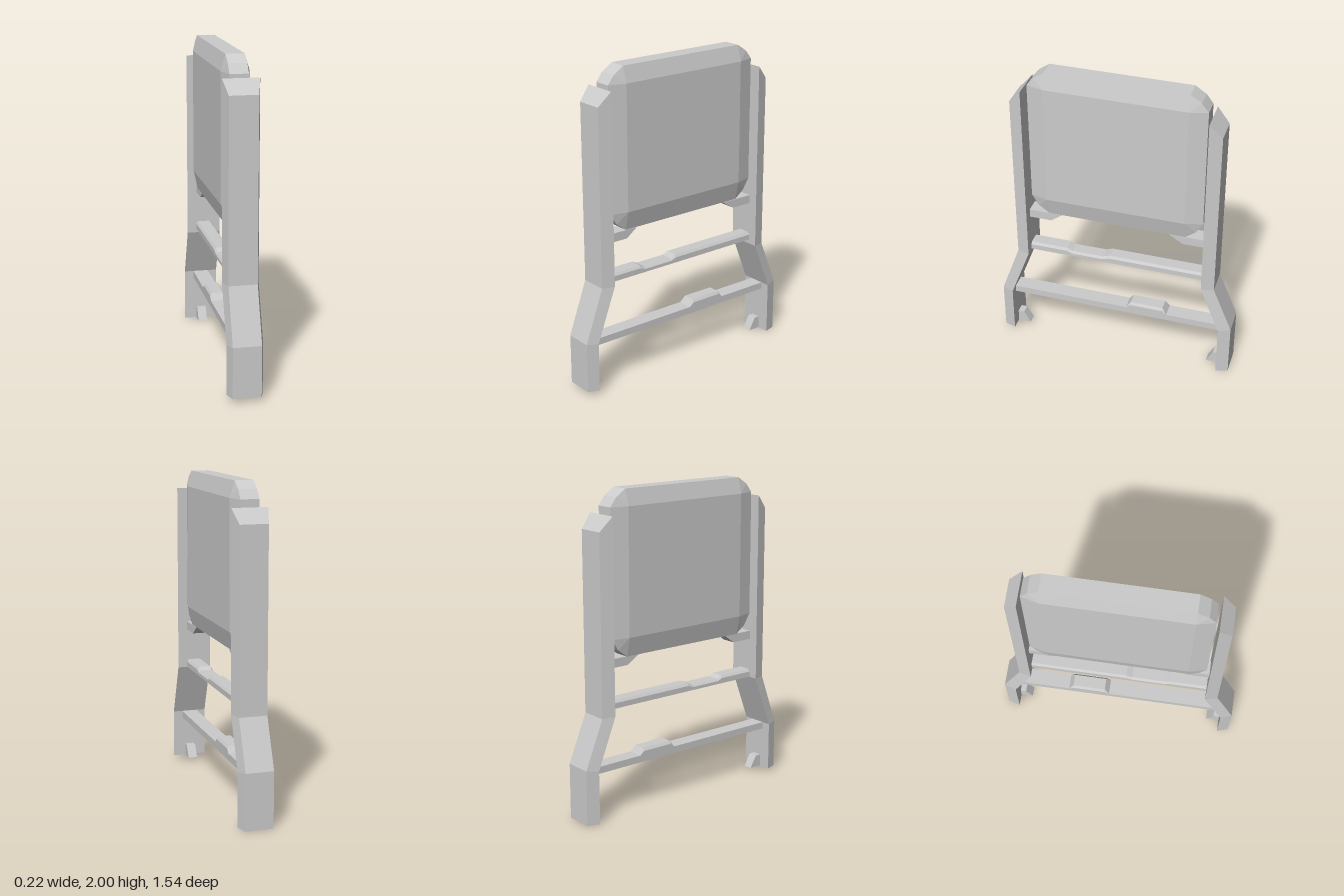
import * as THREE from 'three';

const material = new THREE.MeshStandardMaterial({ color: 0xcccccc, flatShading: true });

// Skins a list of matching rings of [x, y, z] points and caps both ends
function loft(name, rings) {
  const pos = [];
  const n = rings[0].length;
  let volume = 0;
  const tri = (a, b, c) => {
    const [A, B, C] = [a, b, c].map((p) => new THREE.Vector3(...p));
    const normal = B.clone().sub(A).cross(C.clone().sub(A));
    if (normal.length() < 1e-9) return;
    volume += A.dot(B.clone().cross(C));
    pos.push([a, b, c]);
  };
  for (let r = 0; r < rings.length - 1; r++) {
    for (let i = 0; i < n; i++) {
      const j = (i + 1) % n;
      tri(rings[r][i], rings[r][j], rings[r + 1][j]);
      tri(rings[r][i], rings[r + 1][j], rings[r + 1][i]);
    }
  }
  const first = rings[0], last = rings[rings.length - 1];
  for (let i = 1; i < n - 1; i++) {
    tri(first[0], first[i + 1], first[i]);
    tri(last[0], last[i], last[i + 1]);
  }
  // Turn the faces outward whichever way the rings run
  const faces = volume < 0 ? pos.map(([a, b, c]) => [a, c, b]) : pos;
  const geometry = new THREE.BufferGeometry();
  geometry.setAttribute('position', new THREE.Float32BufferAttribute(faces.flat(2), 3));
  geometry.computeVertexNormals();
  const mesh = new THREE.Mesh(geometry, material);
  mesh.name = name;
  return mesh;
}

// A side profile of [z, y] points given a width across x
const slab = (name, profile, halfWidth) =>
  loft(name, [-halfWidth, halfWidth].map((x) => profile.map(([z, y]) => [x, y, z])));

// A rail along z from stations [z, shoulderY, topY], with bevelled top edges
const rail = (name, bottom, stations) =>
  loft(name, stations.map(([z, shoulder, top]) => {
    const w = 0.05, t = top > shoulder ? 0.038 : 0.05;
    return [[-w, bottom, z], [w, bottom, z], [w, shoulder, z], [t, top, z], [-t, top, z], [-w, shoulder, z]];
  }));

// Bent upright, wide on the inside and narrow outside: [innerZ, innerY, outerZ, outerY]
function upright(name, side, levels) {
  return loft(name, levels.map(([zi, yi, zo, yo]) => [
    [-0.11, yi, side * zi], [0.11, yi, side * zi],
    [0.087, yo, side * zo], [-0.087, yo, side * zo],
  ]));
}

// Pillow-like panel with clipped corners and sloping borders
function panel() {
  const outline = [], inner = [];
  const corners = [
    [1, 1.9, [[0.55, 1.9], [0.507, 1.955], [0.44, 2.0]]],
    [-1, 1.9, [[0.44, 2.0], [0.507, 1.955], [0.55, 1.9]]],
    [-1, 1.115, [[0.55, 1.115], [0.507, 1.045], [0.44, 0.995]]],
    [1, 1.115, [[0.44, 0.995], [0.507, 1.045], [0.55, 1.115]]],
  ];
  for (const [side, y, points] of corners) {
    for (const [z, py] of points) {
      outline.push([side * z, py]);
      inner.push([side * 0.44, y]);
    }
  }
  const ring = (loop, x) => loop.map(([z, y]) => [x, y, z]);
  return loft('panel', [
    ring(inner, -0.09), ring(outline, -0.063), ring(outline, 0.05), ring(inner, 0.079),
  ]);
}

export function createModel() {
  const model = new THREE.Group();
  model.name = 'panelStand';

  model.add(panel());

  // Uprights
  model.add(upright('frontUpright', 1, [
    [0.7, 0.027, 0.772, 0.027], [0.7, 0.34, 0.772, 0.345],
    [0.572, 0.68, 0.65, 0.68], [0.572, 1.88, 0.65, 1.795],
  ]));
  model.add(upright('backUpright', -1, [
    [0.693, 0, 0.77, 0], [0.693, 0.34, 0.77, 0.35],
    [0.568, 0.655, 0.647, 0.65], [0.568, 1.855, 0.647, 1.768],
  ]));

  // Toes inside the feet
  model.add(slab('frontToe', [[0.705, 0.027], [0.615, 0.027], [0.66, 0.105], [0.705, 0.105]], 0.03));
  model.add(slab('backToe', [[-0.7, 0], [-0.612, 0], [-0.655, 0.08], [-0.7, 0.08]], 0.03));

  // Brackets under the panel
  model.add(slab('frontBracket', [[0.575, 0.992], [0.355, 0.992], [0.43, 0.937], [0.575, 0.937]], 0.048));
  model.add(slab('backBracket', [[-0.572, 0.992], [-0.337, 0.992], [-0.425, 0.937], [-0.572, 0.937]], 0.048));

  // Middle rail with a shallow dip, lower rail with a raised pad
  model.add(rail('middleRail', 0.682, [
    [0.575, 0.716, 0.732], [0.33, 0.716, 0.732], [0.295, 0.702, 0.716],
    [0.09, 0.702, 0.716], [0.05, 0.716, 0.732], [-0.572, 0.716, 0.732],
  ]));
  model.add(rail('lowerRail', 0.296, [
    [0.702, 0.34, 0.34], [-0.065, 0.34, 0.34], [-0.095, 0.364, 0.381],
    [-0.308, 0.364, 0.381], [-0.336, 0.34, 0.34], [-0.697, 0.34, 0.34],
  ]));

  return model;
}
